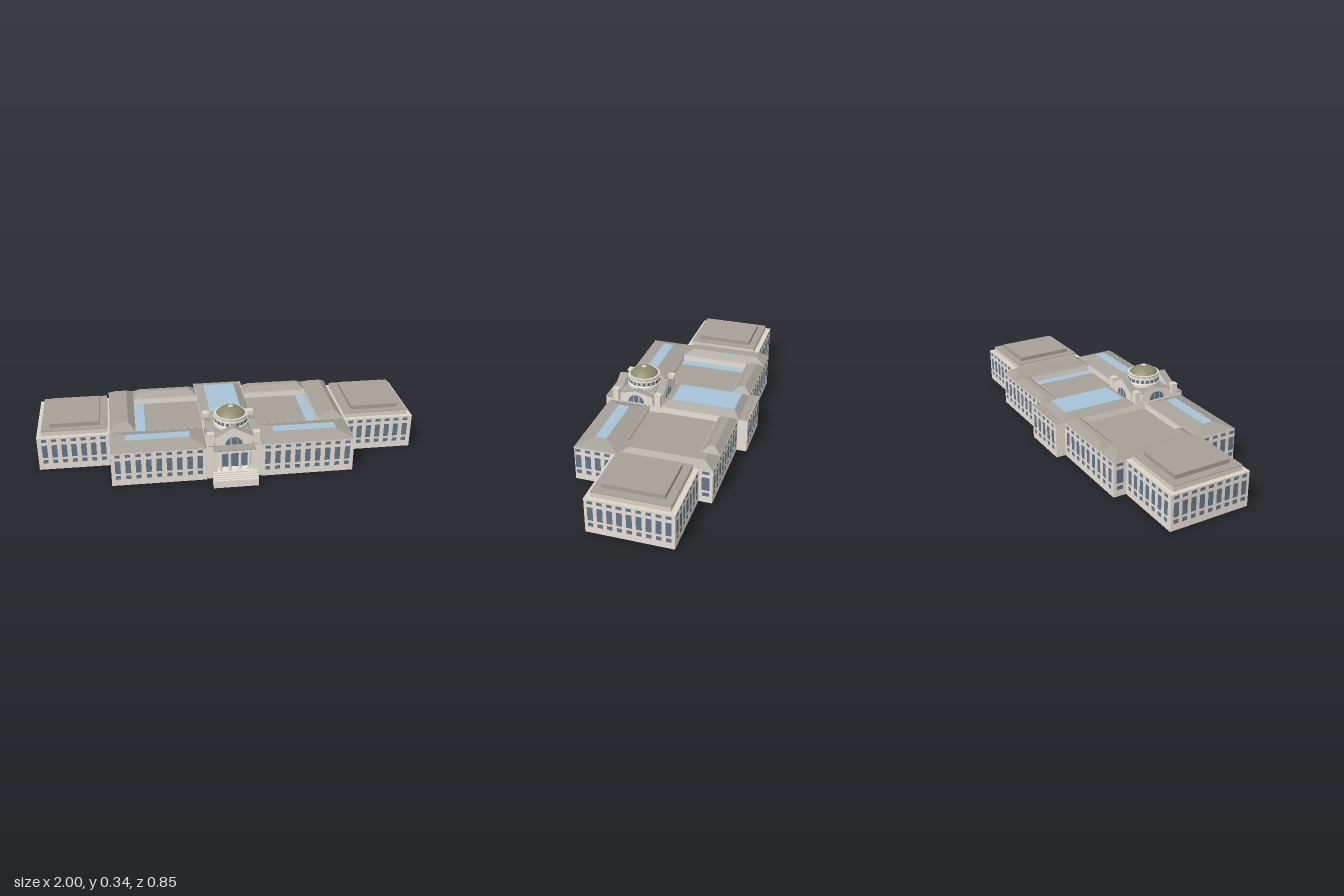
import * as THREE from 'three';
import { mergeGeometries, toCreasedNormals } from 'three/addons/utils/BufferGeometryUtils.js';

const mat = (color) => new THREE.MeshStandardMaterial({ color, side: THREE.DoubleSide });
const WALL = mat(0xe8e1d7), TRIM = mat(0xdad3c8), ROOF = mat(0xa5a198), GLASS = mat(0x64788a),
  SKY = mat(0xa6c3d8), DOME = mat(0x8c8a6c);
const CORNICE = 0.185, COURT = 0.15;

// Four-sided block whose top is inset from its base; the bottom stays open
function frustum(x0, x1, z0, z1, y0, y1, ix = 0, iz = ix, closed = true) {
  const ring = (a, b, c, d, y) => [[a, y, d], [b, y, d], [b, y, c], [a, y, c]];
  const b = ring(x0, x1, z0, z1, y0), t = ring(x0 + ix, x1 - ix, z0 + iz, z1 - iz, y1);
  const quads = closed ? [t] : [];
  for (let i = 0; i < 4; i++) quads.push([b[i], b[(i + 1) % 4], t[(i + 1) % 4], t[i]]);
  const p = quads.flatMap(([a, c, d, e]) => [a, c, d, a, d, e].flat());
  const g = new THREE.BufferGeometry();
  g.setAttribute('position', new THREE.Float32BufferAttribute(p, 3));
  g.computeVertexNormals();
  return g;
}

export function createModel() {
  const model = new THREE.Group();
  model.name = 'museumBuilding';
  const add = (name, geo, material) => {
    const m = new THREE.Mesh(geo, material);
    m.name = name;
    model.add(m);
    return m;
  };
  const block = (name, material, ...dims) => add(name, frustum(...dims), material);

  // Walls with a slim cornice band
  const hall = (name, x0, x1, z0, z1) => {
    block(name + 'Walls', WALL, x0, x1, z0, z1, 0, CORNICE - 0.003, 0, 0, false);
    const o = 0.0015;
    block(name + 'Cornice', TRIM, x0 - o, x1 + o, z0 - o, z1 + o, CORNICE - 0.005, CORNICE);
  };
  // Flat horizontal glass panel
  const skylight = (name, x0, x1, z0, z1, y) => block(name, SKY, x0, x1, z0, z1, y, y + 0.0015);

  // Three rows of windows on one wall; face is '+x', '-x', '+z' or '-z'
  const rows = [[0.036, 0.057, 0.9], [0.07, 0.143, 1], [0.161, 0.177, 0.95]];
  const windows = (name, face, at, from, to, count, width = 0.028) => {
    const parts = [], step = (to - from) / count, s = face[0] === '+' ? 1 : -1;
    for (let i = 0; i < count; i++) for (const [y0, y1, k] of rows) {
      const g = new THREE.PlaneGeometry(width * k, y1 - y0), c = from + (i + 0.5) * step;
      if (face[1] === 'x') g.rotateY(s * Math.PI / 2).translate(at + s * 0.0012, (y0 + y1) / 2, c);
      else g.rotateY(s > 0 ? 0 : Math.PI).translate(c, (y0 + y1) / 2, at + s * 0.0012);
      parts.push(g);
    }
    add(name, mergeGeometries(parts), GLASS);
  };

  // Wings, courts and pavilions, mirrored left and right
  for (const s of [1, -1]) {
    const side = s > 0 ? 'left' : 'right', out = s > 0 ? '+x' : '-x';
    const span = (a, b) => (s > 0 ? [a, b] : [-b, -a]);

    // Front wing with hipped roof
    hall(side + 'FrontWing', ...span(0.138, 0.624), 0.112, 0.335);
    block(side + 'FrontRoof', ROOF, ...span(0.138, 0.624), 0.112, 0.335, CORNICE, 0.211, 0.079);
    skylight(side + 'FrontSkylight', ...span(0.217, 0.545), 0.195, 0.254, 0.211);
    windows(side + 'FrontWingWindows', '+z', 0.335, ...span(0.148, 0.616), 9);
    windows(side + 'FrontWingEndWindows', out, s * 0.624, 0.137, 0.34, 4, 0.03);

    // Side wing behind the pavilion
    hall(side + 'SideWing', ...span(0.488, 0.624), -0.368, 0.112);
    block(side + 'SideRoof', ROOF, ...span(0.488, 0.624), -0.368, 0.112, CORNICE, 0.216, 0.038, 0.05);
    windows(side + 'SideWingWindow', out, s * 0.624, -0.365, -0.303, 1, 0.038);

    // Rear wing
    hall(side + 'RearWing', ...span(0.135, 0.488), -0.368, -0.268);
    block(side + 'RearRoof', ROOF, ...span(0.135, 0.488), -0.368, -0.268, CORNICE, 0.212, 0.035);
    windows(side + 'RearWingWindows', '-z', -0.368, ...span(0.145, 0.618), 9);

    // Sunken court roof with a glass strip
    block(side + 'CourtRoof', ROOF, ...span(0.13, 0.488), -0.268, 0.112, COURT - 0.004, COURT);
    skylight(side + 'CourtSkylight', ...span(0.435, 0.486), -0.262, 0.11, COURT);

    // End pavilion with stepped attic
    hall(side + 'Pavilion', ...span(0.626, 0.998), -0.3, 0.128);
    block(side + 'PavilionAttic', TRIM, ...span(0.634, 0.975), -0.275, 0.104, CORNICE, 0.209);
    block(side + 'PavilionAtticRoof', ROOF, ...span(0.634, 0.975), -0.275, 0.104, 0.209, 0.2125);
    block(side + 'PavilionTopRoof', ROOF, ...span(0.675, 0.93), -0.235, 0.067, 0.212, 0.234);
    windows(side + 'PavilionFrontWindows', '+z', 0.128, ...span(0.635, 0.987), 7);
    windows(side + 'PavilionRearWindows', '-z', -0.3, ...span(0.635, 0.987), 7);
    windows(side + 'PavilionEndWindows', out, s * 0.998, -0.295, 0.122, 9);
  }

  // Central gallery with long skylight, and the rear projection
  block('galleryWalls', WALL, -0.13, 0.13, -0.368, 0.05, 0, CORNICE, 0, 0, false);
  block('galleryRoof', ROOF, -0.13, 0.13, -0.372, 0.055, CORNICE, 0.213, 0.043, 0.035);
  skylight('gallerySkylight', -0.086, 0.086, -0.335, 0.005, 0.213);
  hall('rearProjection', -0.136, 0.136, -0.42, -0.368);
  block('rearProjectionRoof', ROOF, -0.134, 0.134, -0.418, -0.368, CORNICE, 0.1865);
  windows('rearProjectionWindows', '-z', -0.42, -0.128, 0.128, 5);

  // Entrance block and the attic under the drum
  hall('entranceBlock', -0.135, 0.135, 0.05, 0.327);
  block('entranceRoof', ROOF, -0.132, 0.132, 0.053, 0.324, CORNICE, 0.1875);
  block('rotundaBase', WALL, -0.102, 0.102, 0.088, 0.287, CORNICE, 0.228);
  block('rotundaBaseRoof', ROOF, -0.102, 0.102, 0.088, 0.287, 0.228, 0.24, 0.015);

  // Gabled arm with a half-round window, on each side of the rotunda
  const arm = (name, x, z, turn, half, depth, eaves, apex) => {
    const g = new THREE.Group();
    g.name = name;
    g.position.set(x, 0, z);
    g.rotation.y = turn;
    const part = (n, geo, material) => {
      const m = new THREE.Mesh(geo, material);
      m.name = n;
      g.add(m);
    };
    part('armWall', frustum(-half, half, -depth, 0, CORNICE, eaves), WALL);
    const e = half + 0.004;
    const tri = new THREE.Shape([[-e, eaves], [e, eaves], [0, apex]].map((p) => new THREE.Vector2(...p)));
    part('pediment', new THREE.ExtrudeGeometry(tri, { depth: depth + 0.003, bevelEnabled: false })
      .translate(0, 0, -depth), [WALL, ROOF]);
    const arch = new THREE.Shape();
    arch.absarc(0, 0, 0.044, 0, Math.PI);
    part('archWindow', new THREE.ShapeGeometry(arch, 16).translate(0, 0.19, 0.002), GLASS);
    for (const bx of [-0.016, 0.016])
      part('archMullion', new THREE.BoxGeometry(0.004, 0.04, 0.003).translate(bx, 0.208, 0.002), WALL);
    model.add(g);
  };
  arm('frontArm', 0, 0.322, 0, 0.095, 0.04, 0.232, 0.285);
  arm('rearArm', 0, 0.053, Math.PI, 0.095, 0.04, 0.232, 0.285);
  arm('leftArm', 0.132, 0.188, Math.PI / 2, 0.09, 0.035, 0.233, 0.258);
  arm('rightArm', -0.132, 0.188, -Math.PI / 2, 0.09, 0.035, 0.233, 0.258);

  // Corner piers with caps
  for (const sx of [-1, 1]) for (const z of [0.07, 0.304]) {
    const x = sx * 0.118;
    block('cornerPier', WALL, x - 0.015, x + 0.015, z - 0.015, z + 0.015, CORNICE, 0.246);
    block('pierCap', TRIM, x - 0.018, x + 0.018, z - 0.018, z + 0.018, 0.244, 0.251);
  }

  // Drum, cornice, shallow dome and lantern turned on one axis
  const cz = 0.188;
  const lathe = (name, pts, material) => add(name, toCreasedNormals(
    new THREE.LatheGeometry(pts.map((p) => new THREE.Vector2(...p)), 48), 0.5), material).position.z = cz;
  lathe('drum', [[0.088, 0.225], [0.088, 0.256], [0.084, 0.26], [0.084, 0.286]], WALL);
  lathe('drumCornice', [[0.083, 0.283], [0.088, 0.285], [0.088, 0.288], [0.084, 0.29], [0.084, 0.299],
    [0.086, 0.301], [0.086, 0.303], [0.074, 0.304]], TRIM);
  const dome = [], radius = 0.0945;
  for (let i = 0; i <= 10; i++) {
    const a = 0.92 * (1 - i / 10);
    dome.push([radius * Math.sin(a), 0.34 - radius * (1 - Math.cos(a))]);
  }
  lathe('dome', dome, DOME);
  lathe('lantern', [[0.013, 0.335], [0.013, 0.342], [0, 0.343]], TRIM);
  const panes = [];
  for (let i = 0; i < 20; i++)
    panes.push(new THREE.BoxGeometry(0.017, 0.016, 0.003).translate(0, 0.272, 0.0835).rotateY(i * Math.PI / 10));
  add('drumWindows', mergeGeometries(panes), GLASS).position.z = cz;

  // Portico: podium, columns, entablature, doorway glass
  block('podium', WALL, -0.105, 0.105, 0.322, 0.372, 0, 0.066);
  block('entablature', WALL, -0.105, 0.105, 0.322, 0.371, 0.167, 0.181);
  add('entablatureSoffit', new THREE.BoxGeometry(0.21, 0.002, 0.048).translate(0, 0.167, 0.346), WALL);
  block('porticoRoof', ROOF, -0.107, 0.107, 0.322, 0.373, 0.181, CORNICE + 0.001);
  block('doorwayGlass', GLASS, -0.07, 0.07, 0.327, 0.3295, 0.066, 0.16);
  for (const s of [-1, 1])
    block('porticoEndWall', WALL, s * 0.097 - 0.008, s * 0.097 + 0.008, 0.327, 0.371, 0.066, 0.167);
  for (const x of [-0.072, -0.026, 0.026, 0.072]) {
    add('column', new THREE.CylinderGeometry(0.0065, 0.008, 0.1, 16).translate(x, 0.116, 0.359), WALL);
    for (const y of [0.068, 0.164])
      add('columnBlock', new THREE.BoxGeometry(0.019, 0.005, 0.019).translate(x, y, 0.359), WALL);
  }

  // Entrance stairs
  for (let i = 0; i < 5; i++)
    block('step', WALL, -0.115, 0.115, 0.37, 0.424 - i * 0.0105, 0, 0.04 + i * 0.0062);

  return model;
}
